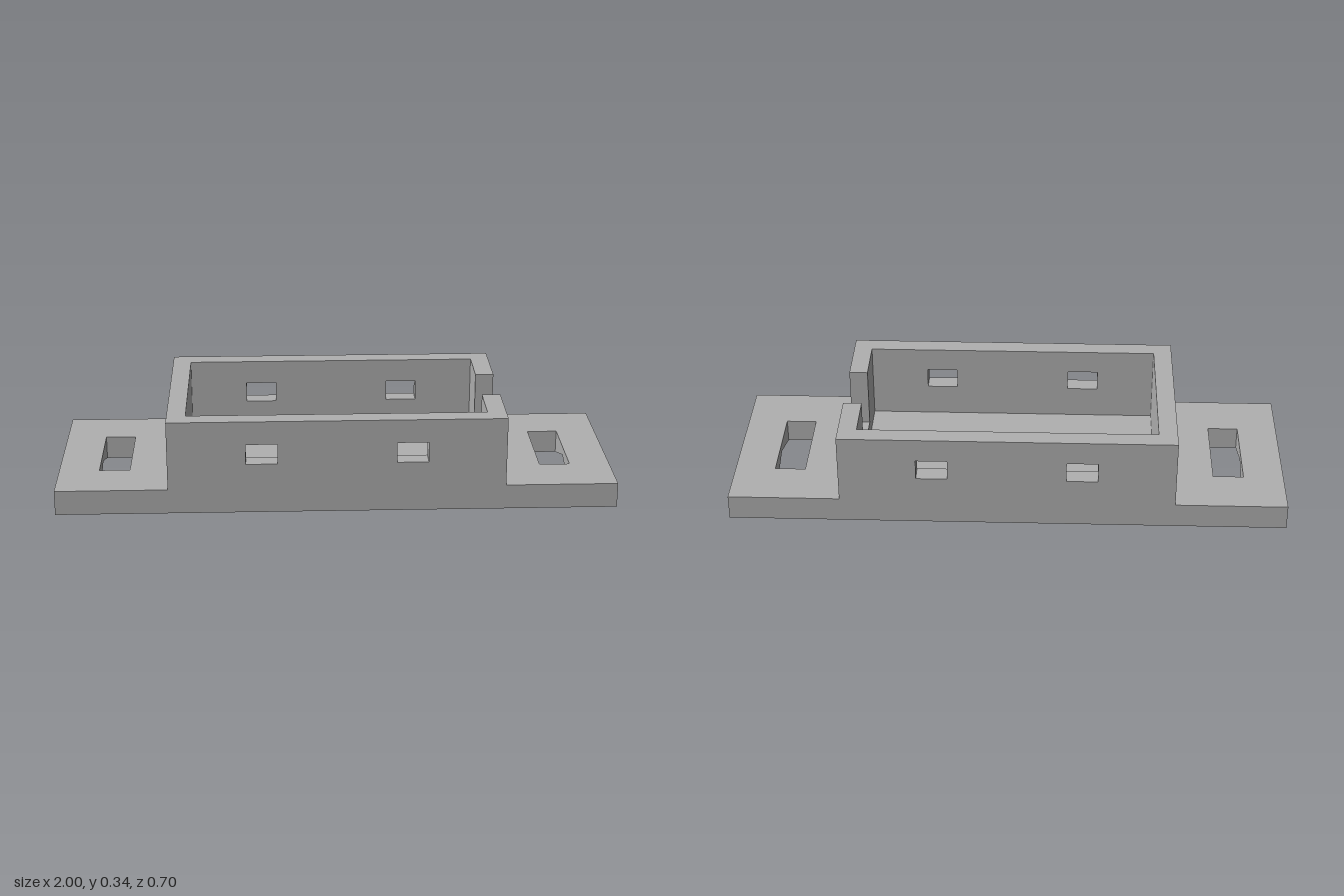
import * as THREE from 'three';

const W = 0.352;        // half width
const FLOOR = 0.067;    // tray floor height
const FLANGE = 0.09;    // flange top height
const TOP = 0.343;      // wall top height
const TX = 0.6;         // tray half length
const IX = 0.533;       // cavity half length
const IZ = 0.285;       // cavity half width
const SLOT = { x0: 0.745, x1: 0.855, z: 0.163 };
const GROOVE = { z: 0.18, y: 0.06 };

const shapeOf = (pts) => new THREE.Shape(pts.map(([a, b]) => new THREE.Vector2(a, b)));

// Extrude a (z, y) outline along x, from x0 to x1
function alongX(pts, x0, x1) {
  const g = new THREE.ExtrudeGeometry(shapeOf(pts.map(([z, y]) => [-z, y])), { depth: x1 - x0, bevelEnabled: false });
  return g.rotateY(Math.PI / 2).translate(x0, 0, 0);
}

export function createModel() {
  const group = new THREE.Group();
  const grey = new THREE.MeshStandardMaterial({ color: 0xb0b0b0 });
  grey.name = 'grey';

  const add = (name, geometry) => {
    const mesh = new THREE.Mesh(geometry, grey);
    mesh.name = name;
    group.add(mesh);
  };

  // Slab section with a V groove underneath
  const slab = (top) => [
    [-W, 0], [-GROOVE.z, 0], [0, GROOVE.y], [GROOVE.z, 0], [W, 0], [W, top], [-W, top],
  ];
  add('trayFloor', alongX(slab(FLOOR), -TX, TX));

  // Slotted flanges at both ends
  const slotY = GROOVE.y * (1 - SLOT.z / GROOVE.z);
  for (const s of [-1, 1]) {
    const side = s > 0 ? 'left' : 'right';
    const span = (pts, a, b) => alongX(pts, Math.min(s * a, s * b), Math.max(s * a, s * b));
    add(side + 'FlangeInner', span(slab(FLANGE), TX, SLOT.x0));
    add(side + 'FlangeOuter', span(slab(FLANGE), SLOT.x1, 1));
    for (const m of [-1, 1]) {
      const strip = [[SLOT.z, slotY], [GROOVE.z, 0], [W, 0], [W, FLANGE], [SLOT.z, FLANGE]];
      add(side + (m > 0 ? 'FrontSlotRail' : 'BackSlotRail'),
        span(strip.map(([z, y]) => [m * z, y]), SLOT.x0, SLOT.x1));
    }
  }

  // Long walls, each with two rectangular windows
  for (const s of [-1, 1]) {
    const wall = shapeOf([[-TX, FLOOR], [TX, FLOOR], [TX, TOP], [-TX, TOP]]);
    for (const x of [-0.267, 0.267]) {
      const [a, b, y0, y1] = [x - 0.056, x + 0.056, 0.183, 0.257];
      wall.holes.push(shapeOf([[a, y0], [a, y1], [b, y1], [b, y0]]));
    }
    const g = new THREE.ExtrudeGeometry(wall, { depth: W - IZ, bevelEnabled: false });
    add(s > 0 ? 'frontWall' : 'backWall', g.translate(0, 0, s > 0 ? IZ : -W));
  }

  // End walls: one plain, one with a square notch
  add('rightEndWall', alongX([[-IZ, FLOOR], [IZ, FLOOR], [IZ, TOP], [-IZ, TOP]], -TX, -IX));
  const n = 0.108, ny = 0.127;
  add('notchedEndWall', alongX([
    [-IZ, FLOOR], [IZ, FLOOR], [IZ, TOP], [n, TOP], [n, ny], [-n, ny], [-n, TOP], [-IZ, TOP],
  ], IX, TX));

  return group;
}
